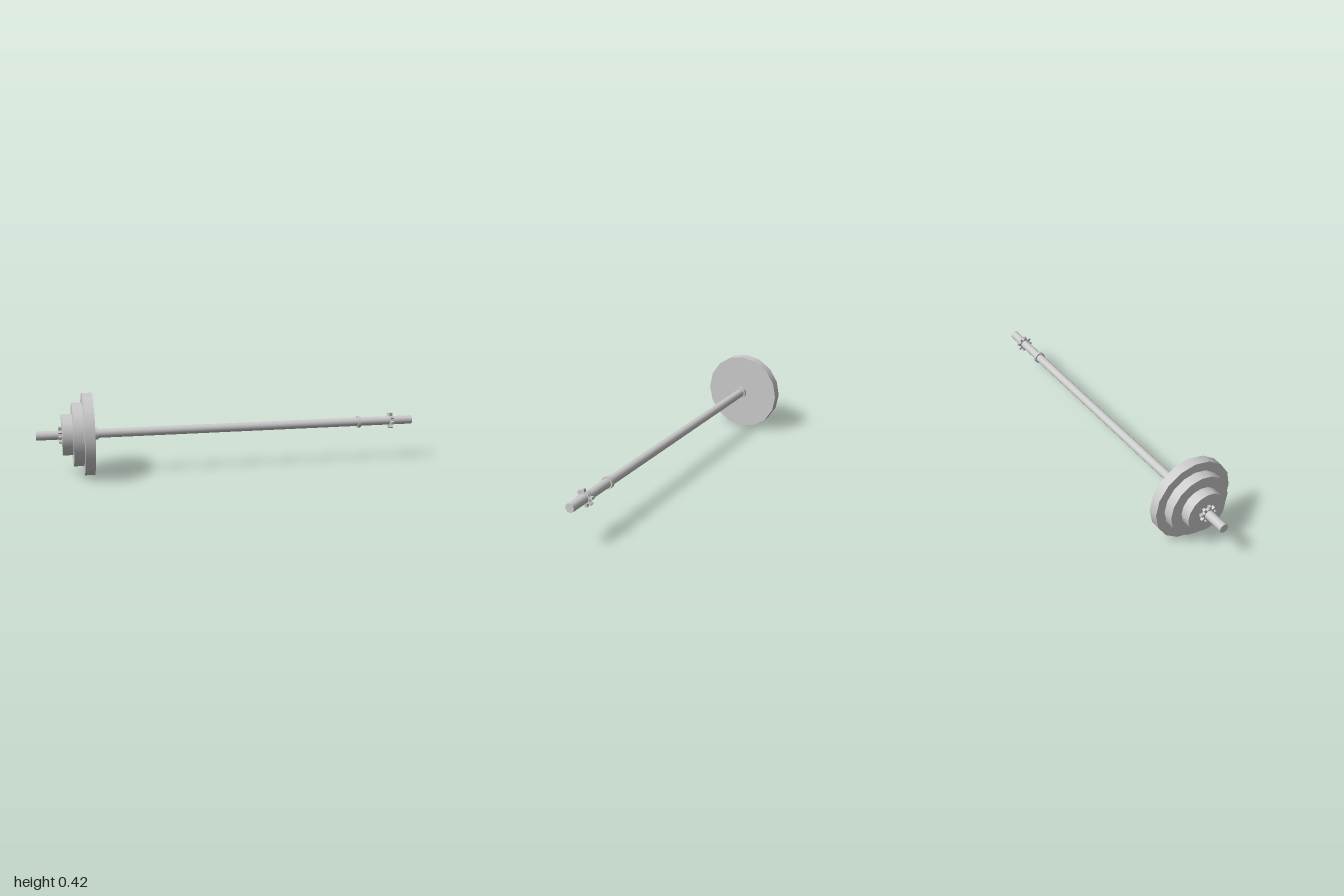
import * as THREE from 'three';

const AXIS_Y = 0.211;

export function createModel() {
  const group = new THREE.Group();
  group.name = 'barbell';
  const material = new THREE.MeshStandardMaterial({ color: 0xcccccc });

  const add = (name, geometry, x) => {
    const mesh = new THREE.Mesh(geometry, material);
    mesh.name = name;
    mesh.position.set(x, AXIS_Y, 0);
    group.add(mesh);
  };

  // Disc or rod lying along x, spanning x0 to x1
  const rod = (name, radius, x0, x1) => {
    const geometry = new THREE.CylinderGeometry(radius, radius, x1 - x0, 16);
    geometry.rotateZ(Math.PI / 2);
    add(name, geometry, (x0 + x1) / 2);
  };

  rod('bar', 0.023, -1, 1);

  // Weight plates, stacked on the right end only
  rod('largePlate', 0.211, -0.768, -0.717);
  rod('mediumPlate', 0.163, -0.82, -0.768);
  rod('smallPlate', 0.105, -0.873, -0.82);

  // Star nut: eight straight teeth around a round hub
  const star = new THREE.Shape();
  const teeth = 8, rootR = 0.029, tipR = 0.0435, half = 0.0065;
  const points = [];
  for (let i = 0; i < teeth; i++) {
    const a = THREE.MathUtils.degToRad(10 - i * 45) + Math.PI / 2;
    const place = (out, side) => points.push(new THREE.Vector2(
      out * Math.cos(a) - side * Math.sin(a),
      out * Math.sin(a) + side * Math.cos(a)));
    place(rootR * 0.975, half);
    place(tipR, half);
    place(tipR, -half);
    place(rootR * 0.975, -half);
    // Middle of the gap before the next tooth
    const g = a - Math.PI / teeth;
    points.push(new THREE.Vector2(rootR * Math.cos(g), rootR * Math.sin(g)));
  }
  star.setFromPoints(points);
  const nutWidth = 0.016;
  const nut = new THREE.ExtrudeGeometry(star, { depth: nutWidth, bevelEnabled: false });
  nut.translate(0, 0, -nutWidth / 2);
  nut.rotateY(Math.PI / 2);

  // Stop collar and star nut on each end
  for (const [side, s] of [['left', 1], ['right', -1]]) {
    rod(side + 'Collar', 0.031, s * 0.7 - 0.009, s * 0.7 + 0.009);
    add(side + 'StarNut', nut, s * 0.881);
  }
  return group;
}
